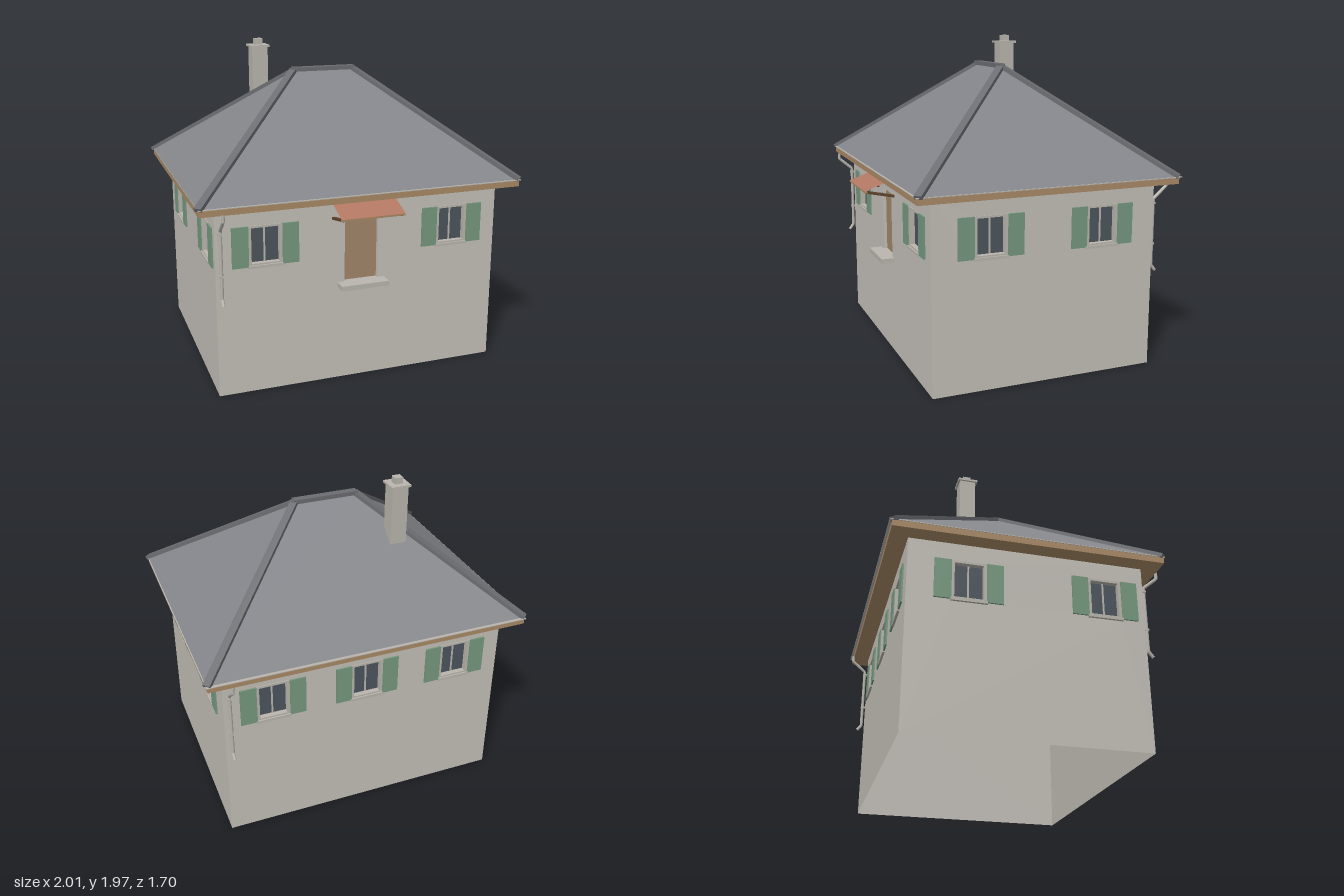
import * as THREE from 'three';

const mat = (name, color, double = false) => {
  const m = new THREE.MeshStandardMaterial({ color });
  m.name = name;
  if (double) m.side = THREE.DoubleSide;
  return m;
};

export function createModel() {
  const house = new THREE.Group();
  house.name = 'house';

  const plaster = mat('plaster', 0xc4bfb8, true);
  const slate = mat('slate', 0x84858a);
  const hipGrey = mat('hipGrey', 0x6c6d72);
  const stone = mat('stone', 0xbab6ae);
  const eaveWood = mat('eaveWood', 0xaa8a66);
  const doorWood = mat('doorWood', 0xa1866a);
  const darkWood = mat('darkWood', 0x64462f);
  const shutterGreen = mat('shutterGreen', 0x76997f);
  const glassDark = mat('glassDark', 0x4c555d);
  const tileRed = mat('tileRed', 0xb37863, true);

  const add = (parent, name, geometry, material, x = 0, y = 0, z = 0) => {
    const mesh = new THREE.Mesh(geometry, material);
    mesh.name = name;
    mesh.position.set(x, y, z);
    parent.add(mesh);
    return mesh;
  };
  const box = (parent, name, material, x0, x1, y0, y1, z0, z1) =>
    add(parent, name, new THREE.BoxGeometry(x1 - x0, y1 - y0, z1 - z0), material,
      (x0 + x1) / 2, (y0 + y1) / 2, (z0 + z1) / 2);
  // Bar of rectangular section between two points
  const bar = (parent, name, material, a, b, w, h) => {
    const A = new THREE.Vector3(...a), B = new THREE.Vector3(...b);
    const mesh = add(parent, name, new THREE.BoxGeometry(w, h, A.distanceTo(B)), material);
    mesh.position.copy(A).add(B).multiplyScalar(0.5);
    mesh.lookAt(B);
    return mesh;
  };
  const rect = (target, x0, x1, y0, y1) =>
    target.moveTo(x0, y0).lineTo(x1, y0).lineTo(x1, y1).lineTo(x0, y1).closePath();

  // Window with frame, centre post, sill and open shutters; wall plane at z = 0
  const Y0 = 0.785, Y1 = 1.025;
  const addWindow = (wall, u) => {
    const g = new THREE.Group();
    g.name = 'window';
    g.position.x = u;
    wall.add(g);
    const ring = rect(new THREE.Shape(), -0.1, 0.1, Y0, Y1);
    ring.holes.push(rect(new THREE.Path(), -0.083, 0.083, Y0 + 0.015, Y1 - 0.013));
    add(g, 'windowFrame', new THREE.ExtrudeGeometry(ring, { depth: 0.045, bevelEnabled: false }), stone, 0, 0, -0.04);
    box(g, 'glass', glassDark, -0.085, 0.085, Y0 + 0.01, Y1 - 0.01, -0.036, -0.027);
    box(g, 'centrePost', stone, -0.005, 0.005, Y0 + 0.01, Y1 - 0.01, -0.028, -0.022);
    box(g, 'windowSill', stone, -0.105, 0.105, 0.773, 0.79, -0.04, 0.014);
    for (const s of [-1, 1])
      add(g, 'shutter', new THREE.BoxGeometry(0.098, 0.243, 0.01), shutterGreen, s * 0.149, 0.904, 0.006);
  };

  // Each wall: turn, offset, horizontal range and window centres
  const walls = [
    { name: 'frontWall', turn: 0, pos: [0, 0, 0.66], u: [-0.88, 0.88], win: [-0.587, 0.585], door: true },
    { name: 'backWall', turn: Math.PI, pos: [0, 0, -0.73], u: [-0.88, 0.88], win: [-0.585, 0, 0.58] },
    { name: 'leftWall', turn: Math.PI / 2, pos: [0.88, 0, 0], u: [-0.66, 0.73], win: [-0.31, 0.385] },
    { name: 'rightWall', turn: -Math.PI / 2, pos: [-0.88, 0, 0], u: [-0.73, 0.66], win: [-0.38, 0.42] },
  ];
  for (const w of walls) {
    const g = new THREE.Group();
    g.name = w.name;
    g.rotation.y = w.turn;
    g.position.set(...w.pos);
    house.add(g);
    const shape = rect(new THREE.Shape(), w.u[0], w.u[1], 0, 1.14);
    for (const u of w.win) {
      shape.holes.push(rect(new THREE.Path(), u - 0.099, u + 0.099, Y0, Y1));
      addWindow(g, u);
    }
    if (w.door) {
      shape.holes.push(rect(new THREE.Path(), -0.106, 0.106, 0.62, 1.025));
      box(g, 'door', doorWood, -0.108, 0.108, 0.618, 1.027, -0.04, -0.025);
      for (const s of [-1, 1])
        add(g, 'doorReveal', new THREE.BoxGeometry(0.004, 0.405, 0.03), plaster, s * 0.107, 0.8225, -0.016);
      add(g, 'doorLintel', new THREE.BoxGeometry(0.212, 0.004, 0.03), plaster, 0, 1.025, -0.016);
      box(g, 'doorStep', stone, -0.15, 0.147, 0.59, 0.62, -0.04, 0.08);
    }
    add(g, 'wallFace', new THREE.ShapeGeometry(shape), plaster);
  }

  // Eaves: wooden fascia and soffit with a pale edging strip
  const ZC = -0.035;
  box(house, 'eaves', eaveWood, -0.982, 0.982, 1.134, 1.174, ZC - 0.8, ZC + 0.8);
  box(house, 'eaveEdging', stone, -0.985, 0.99, 1.172, 1.177, ZC - 0.815, ZC + 0.808);

  // Hipped roof: four slopes from eave rectangle to ridge
  const EX = 0.984, EZ = 0.797, EY = 1.177, RX = 0.195, RY = 1.793;
  const c = [[-EX, EY, ZC + EZ], [EX, EY, ZC + EZ], [EX, EY, ZC - EZ], [-EX, EY, ZC - EZ]];
  const l = [-RX, RY, ZC], r = [RX, RY, ZC];
  const tris = [
    c[0], c[1], r, c[0], r, l,
    c[2], c[3], l, c[2], l, r,
    c[1], c[2], r,
    c[3], c[0], l,
  ];
  const roof = new THREE.BufferGeometry();
  roof.setAttribute('position', new THREE.Float32BufferAttribute(tris.flat(), 3));
  roof.computeVertexNormals();
  add(house, 'roof', roof, slate);

  // Hip and ridge caps
  c.forEach((p, i) => bar(house, 'hipCap', hipGrey, p, i === 1 || i === 2 ? r : l, 0.046, 0.024));
  box(house, 'ridgeCap', hipGrey, -RX - 0.01, RX + 0.01, 1.782, 1.808, ZC - 0.024, ZC + 0.024);

  // Chimney
  const chimney = new THREE.Group();
  chimney.name = 'chimney';
  chimney.position.set(-0.355, 0, -0.29);
  house.add(chimney);
  box(chimney, 'chimneyStack', stone, -0.051, 0.051, 1.45, 1.92, -0.05, 0.05);
  box(chimney, 'chimneyCap', stone, -0.062, 0.062, 1.917, 1.931, -0.062, 0.062);
  box(chimney, 'chimneyPot', stone, -0.025, 0.025, 1.93, 1.97, -0.025, 0.025);

  // Sloping door canopy on two struts
  const top = [0.66, 1.132], lip = [0.848, 1.066];
  const sheet = new THREE.PlaneGeometry(0.39, Math.hypot(lip[0] - top[0], top[1] - lip[1]));
  const canopy = add(house, 'canopy', sheet, tileRed, 0, (top[1] + lip[1]) / 2, (top[0] + lip[0]) / 2);
  canopy.rotation.x = -Math.atan2(lip[0] - top[0], top[1] - lip[1]);
  box(house, 'canopyEdge', eaveWood, -0.195, 0.195, 1.054, 1.066, 0.832, 0.846);
  for (const x of [-0.177, 0.173])
    bar(house, 'canopyStrut', darkWood, [x, 1.02, 0.66], [x, 1.058, 0.838], 0.016, 0.016);

  // Downpipes with wall clips; s gives the outward direction
  const downpipe = (x, wallZ, s) => {
    const g = new THREE.Group();
    g.name = 'downpipe';
    house.add(g);
    const pts = [[0.11, 1.14], [0.11, 1.1], [0.022, 1.025], [0.022, 0.615], [0.05, 0.58]]
      .map(([d, y]) => new THREE.Vector3(x, y, wallZ + s * d));
    const path = new THREE.CurvePath();
    for (let i = 1; i < pts.length; i++) path.add(new THREE.LineCurve3(pts[i - 1], pts[i]));
    add(g, 'pipe', new THREE.TubeGeometry(path, 48, 0.01, 8), stone);
    for (const y of [0.75, 1.0])
      add(g, 'pipeClip', new THREE.BoxGeometry(0.024, 0.012, 0.034), stone, x, y, wallZ + s * 0.016);
  };
  downpipe(-0.85, 0.66, 1);
  downpipe(0.845, -0.73, -1);

  return house;
}
